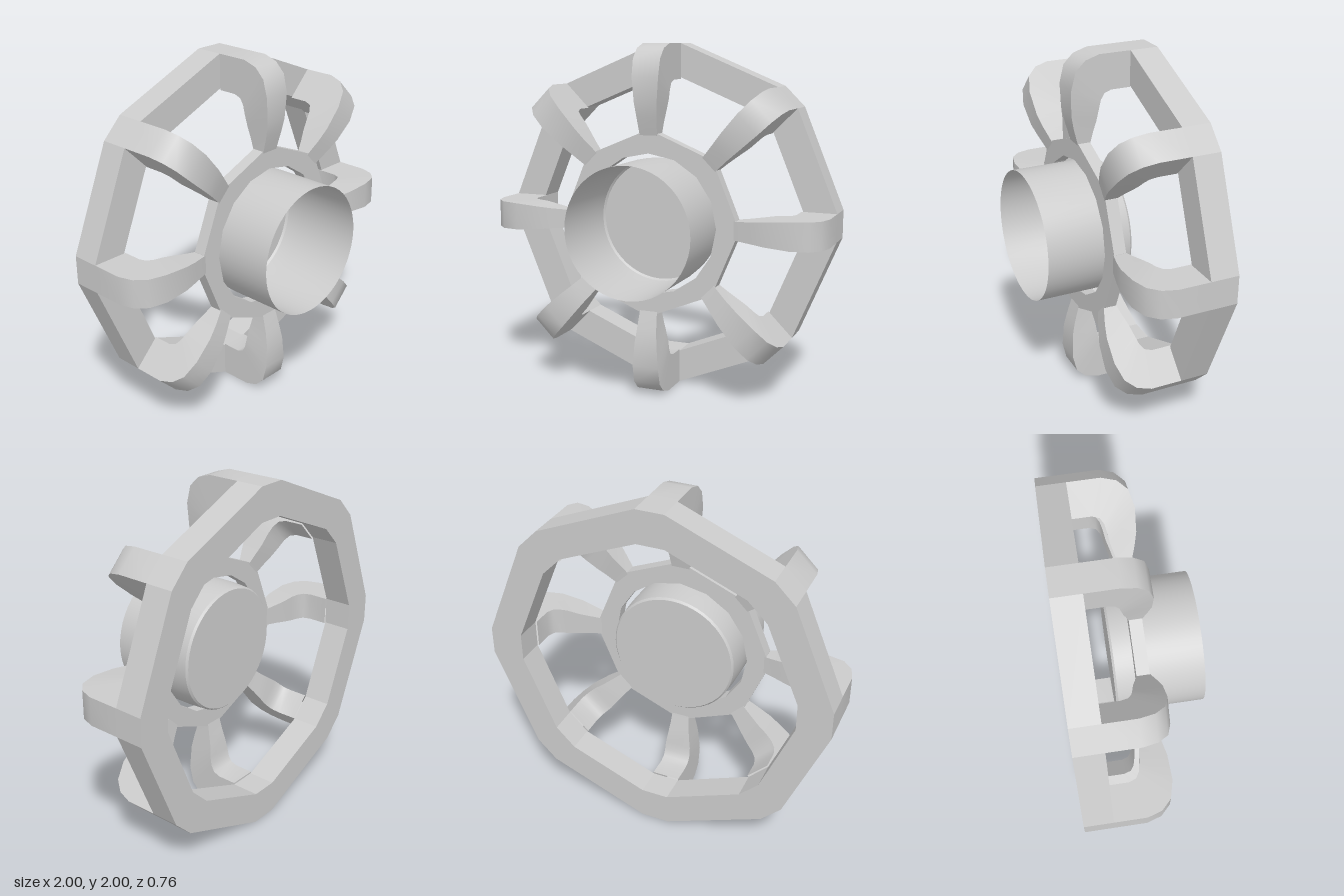
import * as THREE from 'three';
import { toCreasedNormals } from 'three/addons/utils/BufferGeometryUtils.js';

const COUNT = 8;
const STEP = (Math.PI * 2) / COUNT;
const material = new THREE.MeshStandardMaterial({ color: 0xcccccc, side: THREE.DoubleSide });

// Outline with a short flat (2 * half wide) at each spoke and a long edge between
function outline(apothem, half) {
  const pts = [];
  for (let i = 0; i < COUNT; i++) {
    const a = i * STEP;
    for (const w of [-half, half]) {
      pts.push(new THREE.Vector2(
        apothem * Math.cos(a) - w * Math.sin(a),
        apothem * Math.sin(a) + w * Math.cos(a)));
    }
  }
  return pts;
}

function ring(outer, inner, z0, z1) {
  const shape = new THREE.Shape(outer);
  shape.holes.push(new THREE.Path(inner));
  const geo = new THREE.ExtrudeGeometry(shape, { depth: z1 - z0, bevelEnabled: false });
  geo.translate(0, 0, z0);
  return geo;
}

// Spoke stations: outer radius, outer z, inner radius, inner z, half width
const STATIONS = [
  [1.0, -0.22, 0.8, -0.22, 0.08],
  [1.0, -0.04, 0.8, -0.11, 0.08],
  [0.975, 0.04, 0.785, -0.07, 0.08],
  [0.92, 0.095, 0.75, -0.05, 0.08],
  [0.82, 0.12, 0.7, -0.04, 0.078],
  [0.68, 0.115, 0.63, -0.03, 0.067],
  [0.6, 0.098, 0.57, -0.015, 0.059],
  [0.5, 0.07, 0.5, 0.0, 0.052],
];

// Rectangular section swept through the stations, lying along +x
function spokeGeometry() {
  const pos = [];
  const index = [];
  STATIONS.forEach(([ro, zo, ri, zi, w], s) => {
    pos.push(ro, -w, zo, ro, w, zo, ri, w, zi, ri, -w, zi);
    if (s === 0) return;
    for (let k = 0; k < 4; k++) {
      const a = (s - 1) * 4 + k;
      const b = (s - 1) * 4 + ((k + 1) % 4);
      index.push(a, b, b + 4, a, b + 4, a + 4);
    }
  });
  const geo = new THREE.BufferGeometry();
  geo.setAttribute('position', new THREE.Float32BufferAttribute(pos, 3));
  geo.setIndex(index);
  return toCreasedNormals(geo, 0.7);
}

export function createModel() {
  const group = new THREE.Group();
  const add = (geo, name) => {
    const mesh = new THREE.Mesh(geo, material);
    mesh.name = name;
    mesh.position.y = 1;
    group.add(mesh);
    return mesh;
  };

  // Outer rim at the back
  add(ring(outline(1, 0.08), outline(0.81, 0.078), -0.38, -0.22), 'rim');

  // Inner collar that the spokes run into
  const bore = Array.from({ length: 16 }, (_, i) => new THREE.Vector2(
    0.4 * Math.cos(i * STEP / 2), 0.4 * Math.sin(i * STEP / 2)));
  add(ring(outline(0.51, 0.054), bore, 0, 0.07), 'collar');

  // Bent spokes
  const spoke = spokeGeometry();
  for (let i = 0; i < COUNT; i++) {
    add(spoke, `spoke${i + 1}`).rotation.z = i * STEP;
  }

  // Thin cup in the middle, open at the front and closed at the back
  const profile = [[0, -0.112], [0.35, -0.112], [0.36, -0.1], [0.367, 0], [0.367, 0.38]]
    .map(([r, z]) => new THREE.Vector2(r, z));
  const cup = new THREE.LatheGeometry(profile, 48);
  cup.rotateX(Math.PI / 2);
  add(toCreasedNormals(cup, 0.6), 'hubCup');

  return group;
}
